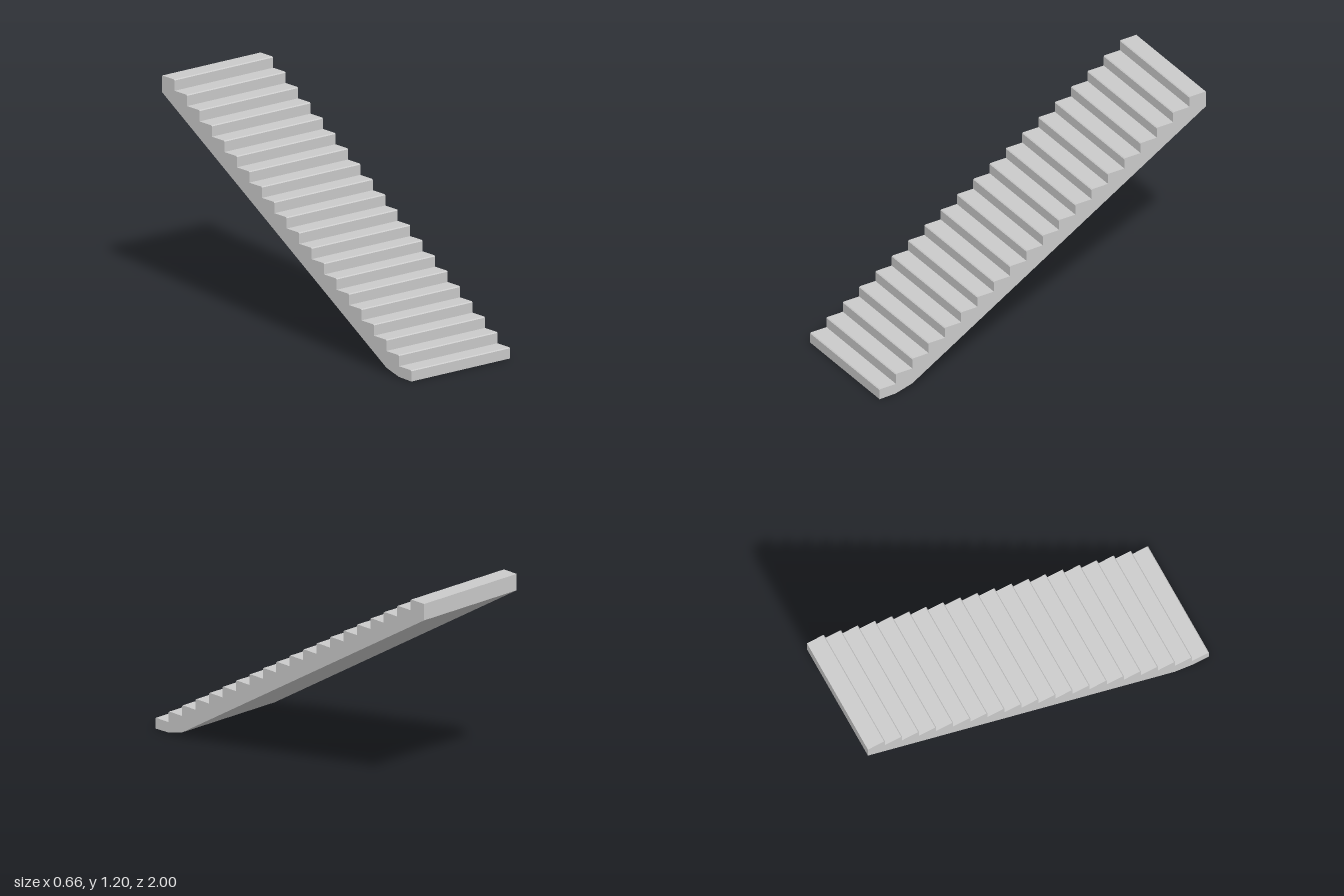
import * as THREE from 'three';

const STEPS = 20, RUN = 0.1, RISE = 0.06, WIDTH = 0.664, BEVEL = 0.005;

// Side outline: horizontal axis runs from the front (-1) to the back (1)
function stairProfile() {
  const shape = new THREE.Shape();
  shape.moveTo(-1, 0);
  for (let i = 0; i < STEPS; i++) {
    const front = -1 + i * RUN, top = (i + 1) * RISE;
    // riser, small bevelled nosing, tread
    shape.lineTo(front, top - BEVEL);
    shape.lineTo(front + BEVEL, top);
    shape.lineTo(front + RUN, top);
  }
  // back end, sloping underside, eased foot
  shape.lineTo(1, 1.11);
  shape.lineTo(-0.8, 0.03);
  shape.lineTo(-0.9, 0.003);
  shape.closePath();
  return shape;
}

export function createModel() {
  const group = new THREE.Group();
  group.name = 'staircase';

  // One solid flight, extruded across its width
  const geometry = new THREE.ExtrudeGeometry(stairProfile(), { depth: WIDTH, bevelEnabled: false });
  geometry.translate(0, 0, -WIDTH / 2);
  geometry.rotateY(Math.PI / 2);

  const flight = new THREE.Mesh(
    geometry,
    new THREE.MeshStandardMaterial({ color: 0xcccccc, flatShading: true })
  );
  flight.name = 'stairFlight';
  group.add(flight);
  return group;
}
